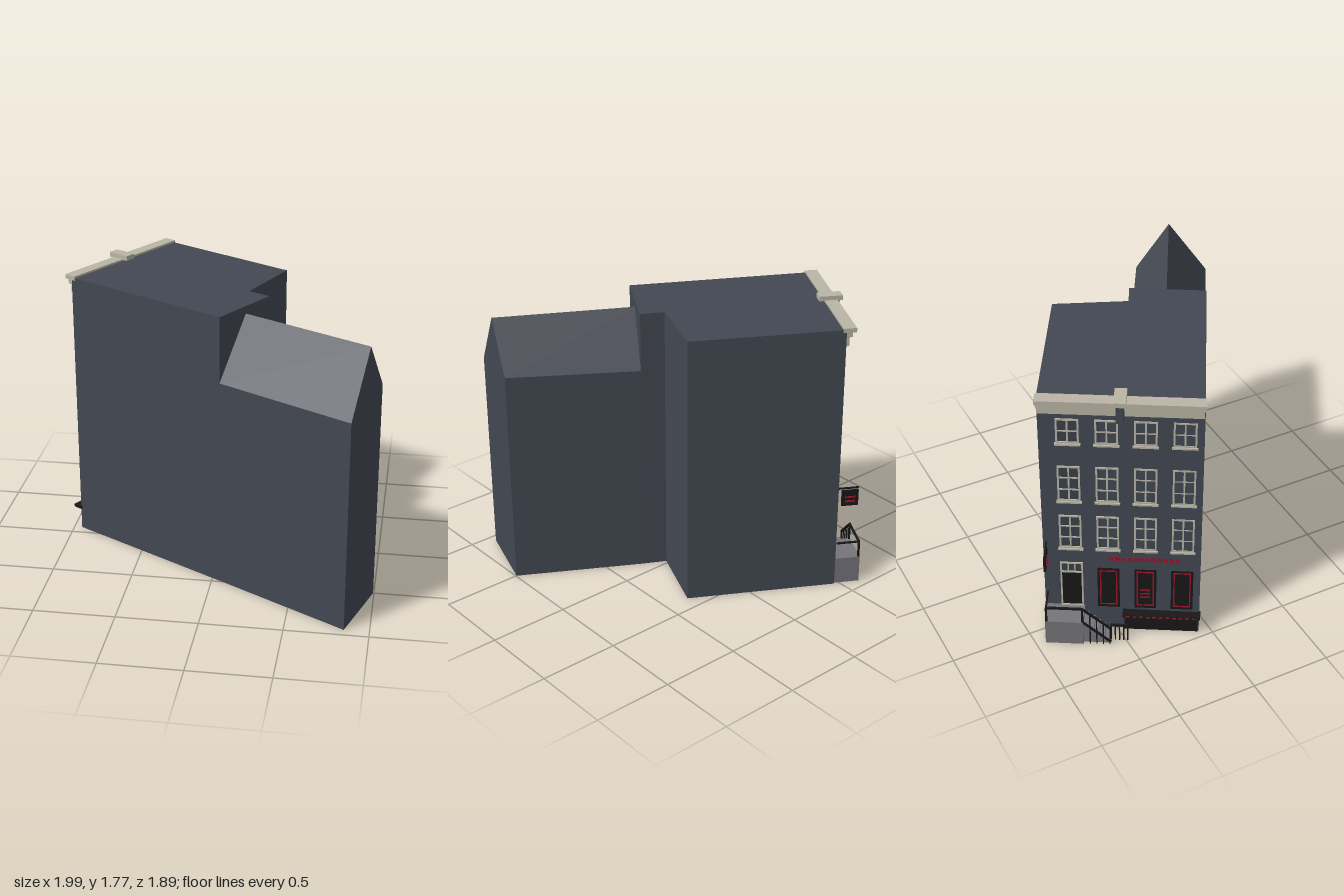
import * as THREE from 'three';

const mat = (name, color) => {
  const m = new THREE.MeshStandardMaterial({ color });
  m.name = name;
  return m;
};

export function createModel() {
  const slate = mat('slate wall', 0x434852);
  const glass = mat('window glass', 0x3b4049);
  const cream = mat('cream trim', 0xbab5a6);
  const black = mat('black paint', 0x171717);
  const red = mat('red paint', 0xa3122a);
  const stone = mat('grey stone', 0x75757a);

  const model = new THREE.Group();
  model.name = 'townHouse';

  // Main block, a prism over its ground plan (x, z)
  const plan = [[-0.95, -0.07], [0.05, 0.49], [0.29, 0.09], [0.16, 0.02], [0.34, -0.4], [-0.47, -0.87]];
  const shape = new THREE.Shape(plan.map(([x, z]) => new THREE.Vector2(x, -z)));
  const bodyGeo = new THREE.ExtrudeGeometry(shape, { depth: 1.73, bevelEnabled: false });
  bodyGeo.rotateX(-Math.PI / 2);
  const body = new THREE.Mesh(bodyGeo, slate);
  body.name = 'mainBlock';
  model.add(body);

  // Rear wing with a pitched roof, lofted between two gable sections
  const inner = [[0.05, 0, 0.49], [0.05, 1.32, 0.49], [0.175, 1.685, 0.285], [0.29, 1.36, 0.09], [0.29, 0, 0.09]];
  const outer = [[0.85, 0, 0.945], [0.85, 1.32, 0.945], [0.93, 1.685, 0.705], [0.995, 1.38, 0.5], [0.995, 0, 0.5]];
  const pos = [];
  const tri = (a, b, c) => pos.push(...a, ...b, ...c);
  for (let i = 0; i < 5; i++) {
    const j = (i + 1) % 5;
    tri(inner[i], outer[i], outer[j]);
    tri(inner[i], outer[j], inner[j]);
  }
  for (let i = 1; i < 4; i++) {
    tri(outer[0], outer[i + 1], outer[i]);
    tri(inner[0], inner[i], inner[i + 1]);
  }
  const wingGeo = new THREE.BufferGeometry();
  wingGeo.setAttribute('position', new THREE.Float32BufferAttribute(pos, 3));
  wingGeo.computeVertexNormals();
  const wing = new THREE.Mesh(wingGeo, slate);
  wing.name = 'rearWing';
  model.add(wing);

  // Facade frame: x runs along the wall, z points out of it
  const facade = new THREE.Group();
  facade.name = 'facade';
  facade.position.set(-0.47, 0, -0.87);
  facade.rotation.y = Math.atan2(-0.862, -0.507);
  model.add(facade);

  // Box given by its limits along the wall, up and outwards
  const box = (name, material, x0, x1, y0, y1, z0, z1, parent = facade) => {
    const m = new THREE.Mesh(new THREE.BoxGeometry(x1 - x0, y1 - y0, z1 - z0), material);
    m.position.set((x0 + x1) / 2, (y0 + y1) / 2, (z0 + z1) / 2);
    m.name = name;
    parent.add(m);
    return m;
  };
  const group = (name) => {
    const g = new THREE.Group();
    g.name = name;
    facade.add(g);
    return g;
  };
  // Rectangular border made of four bars
  const border = (name, material, x0, x1, y0, y1, t, z, g) => {
    box(name, material, x0, x0 + t, y0, y1, 0, z, g);
    box(name, material, x1 - t, x1, y0, y1, 0, z, g);
    box(name, material, x0 + t, x1 - t, y0, y0 + t, 0, z, g);
    box(name, material, x0 + t, x1 - t, y1 - t, y1, 0, z, g);
  };
  // Straight bar between two points
  const bar = (name, a, b, r, g) => {
    const p = new THREE.Vector3(...a), q = new THREE.Vector3(...b);
    const m = new THREE.Mesh(new THREE.BoxGeometry(r, r, p.distanceTo(q)), black);
    m.position.copy(p).add(q).multiplyScalar(0.5);
    m.quaternion.setFromUnitVectors(new THREE.Vector3(0, 0, 1), q.sub(p).normalize());
    m.name = name;
    g.add(m);
  };

  // Upper sash windows: [bottom, top, pane rows]
  const columns = [0.165, 0.385, 0.605, 0.825];
  for (const [y0, y1, rows] of [[0.64, 0.89, 3], [1.0, 1.255, 3], [1.42, 1.59, 2]]) {
    for (const c of columns) {
      const g = group('window');
      const x0 = c - 0.066, x1 = c + 0.066;
      box('glass', glass, x0, x1, y0, y1, 0, 0.003, g);
      border('frame', cream, x0, x1, y0, y1, 0.011, 0.01, g);
      box('mullion', cream, c - 0.005, c + 0.005, y0, y1, 0, 0.009, g);
      for (let i = 1; i < rows; i++) {
        const y = y0 + ((y1 - y0) * i) / rows;
        box('glazingBar', cream, x0, x1, y - 0.004, y + 0.004, 0, 0.008, g);
      }
      box('sill', cream, x0 - 0.008, x1 + 0.008, y0 - 0.012, y0, 0, 0.018, g);
    }
  }

  // Front door with a transom light
  const door = group('frontDoor');
  box('doorLeaf', black, 0.1, 0.23, 0.175, 0.45, 0, 0.005, door);
  box('transomGlass', glass, 0.1, 0.23, 0.45, 0.525, 0, 0.005, door);
  border('doorFrame', cream, 0.097, 0.233, 0.175, 0.525, 0.01, 0.012, door);
  box('transomBar', cream, 0.1, 0.23, 0.445, 0.455, 0, 0.012, door);
  for (const x of [0.145, 0.185]) box('transomMullion', cream, x - 0.004, x + 0.004, 0.45, 0.52, 0, 0.01, door);

  // Shop windows with red outlines
  for (const c of columns.slice(1)) {
    const g = group('shopWindow');
    box('panel', black, c - 0.066, c + 0.066, 0.175, 0.485, 0, 0.008, g);
    border('outline', red, c - 0.052, c + 0.052, 0.195, 0.47, 0.008, 0.011, g);
  }
  for (let i = 0; i < 3; i++) {
    box('windowOrnament', red, 0.575, 0.635, 0.26 + i * 0.028, 0.27 + i * 0.028, 0.005, 0.011);
  }

  // Red dashed band above the shop
  for (let i = 0; i < 12; i++) {
    const x = 0.39 + i * 0.036;
    box('bandBlock', red, x, x + 0.024, 0.55, 0.58, 0, 0.008);
  }

  // Hanging sign board
  const sign = group('hangingSign');
  box('bracket', black, 0.016, 0.024, 0.665, 0.675, 0, 0.13, sign);
  box('board', black, 0.013, 0.027, 0.55, 0.655, 0.025, 0.13, sign);
  for (const x of [0.01, 0.027]) {
    box('signOrnament', red, x, x + 0.003, 0.575, 0.588, 0.045, 0.11, sign);
    box('signOrnament', red, x, x + 0.003, 0.605, 0.616, 0.045, 0.11, sign);
  }

  // Cornice with hoist block
  const cornice = group('cornice');
  box('corniceCap', cream, -0.008, 0.937, 1.715, 1.742, -0.02, 0.058, cornice);
  box('corniceMoulding', cream, -0.004, 0.932, 1.685, 1.715, 0, 0.036, cornice);
  box('frieze', cream, 0, 0.928, 1.63, 1.685, 0, 0.018, cornice);
  box('hoistCap', cream, 0.43, 0.5, 1.738, 1.768, -0.055, 0.09, cornice);
  box('hoistBeam', slate, 0.443, 0.487, 1.62, 1.738, 0, 0.075, cornice);

  // Stoop: landing and steps descending along the wall
  const stoop = group('stoop');
  box('landing', stone, 0.01, 0.24, 0, 0.175, 0, 0.16, stoop);
  for (let i = 0; i < 5; i++) {
    box('step', stone, 0.24 + i * 0.032, 0.272 + i * 0.032, 0, 0.146 - i * 0.029, 0.03, 0.14, stoop);
  }

  // Railings
  const rail = group('railing');
  bar('sideRail', [0.018, 0.282, 0.01], [0.018, 0.282, 0.155], 0.01, rail);
  bar('topRail', [0.015, 0.282, 0.152], [0.24, 0.282, 0.152], 0.012, rail);
  bar('stairRail', [0.235, 0.282, 0.152], [0.405, 0.13, 0.152], 0.014, rail);
  bar('stringer', [0.24, 0.165, 0.147], [0.405, 0.015, 0.147], 0.014, rail);
  for (const x of [0.018, 0.235]) bar('post', [x, 0.17, 0.152], [x, 0.28, 0.152], 0.012, rail);
  for (let i = 1; i < 5; i++) {
    const x = 0.24 + i * 0.04;
    bar('baluster', [x, 0, 0.15], [x, 0.28 - i * 0.036, 0.15], 0.007, rail);
  }
  bar('fenceRail', [0.4, 0.12, 0.11], [0.51, 0.12, 0.11], 0.012, rail);
  for (let i = 0; i < 5; i++) {
    bar('fencePost', [0.405 + i * 0.025, 0, 0.11], [0.405 + i * 0.025, 0.12, 0.11], 0.008, rail);
  }

  // Cellar front under a projecting ledge
  const cellar = group('cellarFront');
  box('cellarPanel', black, 0.48, 0.925, 0, 0.135, 0, 0.015, cellar);
  box('ledge', black, 0.47, 0.94, 0.138, 0.157, 0, 0.062, cellar);
  for (let i = 0; i < 11; i++) {
    const x = 0.49 + i * 0.04;
    box('ledgeDash', red, x, x + 0.024, 0.143, 0.152, 0.06, 0.065, cellar);
  }

  return model;
}
